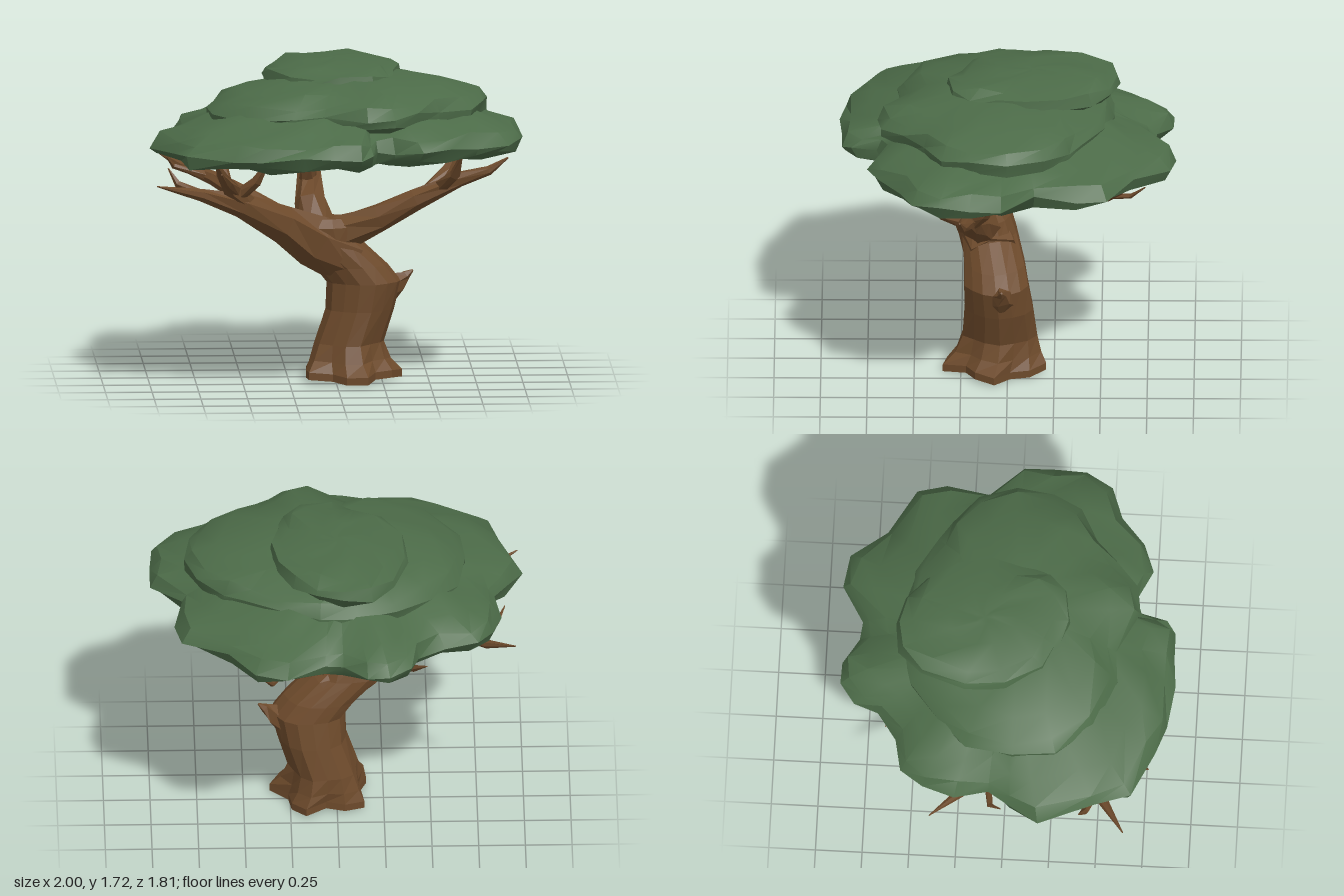
import * as THREE from 'three';
import { toCreasedNormals } from 'three/addons/utils/BufferGeometryUtils.js';

const bark = new THREE.MeshStandardMaterial({ color: 0x6d4a2b, flatShading: true });
const leaf = new THREE.MeshStandardMaterial({ color: 0x4c6b48 });
const V = (x, y, z) => new THREE.Vector3(x, y, z);

// Skin over a stack of equal rings of points, closed at both ends
function loft(rings) {
  const n = rings[0].length, pos = [], index = [];
  rings.forEach(r => r.forEach(p => pos.push(p.x, p.y, p.z)));
  for (let i = 0; i < rings.length - 1; i++) {
    for (let j = 0; j < n; j++) {
      const a = i * n + j, b = i * n + (j + 1) % n;
      index.push(a, a + n, b, b, a + n, b + n);
    }
  }
  [0, rings.length - 1].forEach((k, end) => {
    const c = V(0, 0, 0);
    rings[k].forEach(p => c.addScaledVector(p, 1 / n));
    const ci = pos.length / 3;
    pos.push(c.x, c.y, c.z);
    for (let j = 0; j < n; j++) {
      const a = k * n + j, b = k * n + (j + 1) % n;
      if (end) index.push(b, a, ci); else index.push(a, b, ci);
    }
  });
  const g = new THREE.BufferGeometry();
  g.setAttribute('position', new THREE.Float32BufferAttribute(pos, 3));
  g.setIndex(index);
  g.computeVertexNormals();
  return g;
}

// Tapered branch through points [x, y, z, radius]
function branch(points, sides) {
  const p = points.map(q => V(q[0], q[1], q[2]));
  const d = p[p.length - 1].clone().sub(p[0]);
  const ref = Math.abs(d.z) > Math.abs(d.x) ? V(1, 0, 0) : V(0, 0, 1);
  return loft(p.map((c, i) => {
    const t = p[Math.min(i + 1, p.length - 1)].clone().sub(p[Math.max(i - 1, 0)]).normalize();
    const u = t.clone().cross(ref).normalize(), w = u.clone().cross(t);
    return Array.from({ length: sides }, (_, j) => {
      const a = (j + 0.3 * (i % 2)) / sides * Math.PI * 2, r = points[i][3];
      return c.clone().addScaledVector(u, r * Math.cos(a)).addScaledVector(w, r * Math.sin(a));
    });
  }));
}

// Foliage tier: an outline scaled about a centre through a profile of [scale, y]
function tier(outline, [cx, cz], profile, tilt, phase) {
  const rings = profile.map(([s, y], i) => outline.map(([x, z], j) => {
    const k = s * (1 + 0.015 * Math.sin(j * 2.3 + i * 1.7 + phase));
    const px = Math.max(-1, Math.min(1, cx + (x - cx) * k));
    const lump = 0.014 * Math.sin(j * 1.9 + i * 2.6 + phase) * Math.min(1, s * 1.2);
    return V(px, y + lump + tilt * px, cz + (z - cz) * k);
  }));
  return toCreasedNormals(loft(rings), 0.6);
}

export function createModel() {
  const tree = new THREE.Group();
  tree.name = 'tree';
  const add = (name, geometry, material, parent = tree) => {
    const m = new THREE.Mesh(geometry, material);
    m.name = name;
    parent.add(m);
  };

  // Leaning trunk with flared roots: [y, centre x, centre z, radius x, radius z, root flare]
  const trunk = [
    [0.01, 0.08, 0.07, 0.24, 0.25, 0.2], [0.05, 0.08, 0.07, 0.24, 0.25, 0.2],
    [0.11, 0.07, 0.05, 0.21, 0.22, 0.12], [0.2, 0.07, 0.04, 0.185, 0.2, 0.06],
    [0.38, 0.13, 0.045, 0.185, 0.185, 0.03], [0.53, 0.15, 0.06, 0.2, 0.175, 0.03],
    [0.62, 0.08, 0.07, 0.2, 0.165, 0.03], [0.75, -0.06, 0.1, 0.205, 0.15, 0.02],
    [0.84, -0.08, 0.12, 0.2, 0.14, 0], [0.885, -0.06, 0.12, 0.13, 0.1, 0],
  ];
  const trunkRings = trunk.map(([y, cx, cz, rx, rz, f]) => Array.from({ length: 15 }, (_, j) => {
    const a = j / 15 * Math.PI * 2, k = 1 + f * Math.cos(a * 5 - 0.6);
    return V(cx + rx * k * Math.cos(a), y + f * 0.05 * Math.sin(a * 3), cz + rz * k * Math.sin(a));
  }));
  add('trunk', loft(trunkRings), bark);
  add('brokenStub', branch([[0.24, 0.46, 0.04, 0.1], [0.34, 0.52, 0.03, 0.055], [0.385, 0.555, 0.03, 0.025], [0.42, 0.58, 0.03, 0.006]], 5), bark);

  // Main limbs and their forks
  const limbs = {
    leftLimb: [
      [[0.07, 0.65, 0.08, 0.15], [-0.12, 0.77, 0.14, 0.15], [-0.3, 0.87, 0.25, 0.105], [-0.52, 1.0, 0.4, 0.07], [-0.74, 1.07, 0.52, 0.035], [-0.98, 1.14, 0.66, 0.003]],
      [[-0.46, 0.97, 0.36, 0.06], [-0.57, 1.09, 0.47, 0.05], [-0.63, 1.18, 0.58, 0.03], [-0.66, 1.26, 0.68, 0.01]],
      [[-0.55, 1.04, 0.43, 0.04], [-0.44, 1.14, 0.5, 0.03], [-0.38, 1.25, 0.54, 0.01]],
      [[-0.55, 1.08, 0.46, 0.035], [-0.6, 1.15, 0.64, 0.025], [-0.64, 1.22, 0.78, 0.005]],
      [[-0.72, 1.06, 0.5, 0.03], [-0.86, 1.12, 0.45, 0.02], [-0.91, 1.2, 0.42, 0.004]],
    ],
    leftBackLimb: [
      [[-0.3, 0.88, 0.22, 0.08], [-0.48, 1.0, 0.12, 0.055], [-0.64, 1.07, -0.05, 0.04], [-0.8, 1.11, -0.24, 0.025], [-0.95, 1.18, -0.38, 0.003]],
      [[-0.58, 1.04, 0.02, 0.04], [-0.6, 1.15, -0.08, 0.03], [-0.58, 1.26, -0.16, 0.01]],
      [[-0.68, 1.08, -0.08, 0.025], [-0.86, 1.14, -0.06, 0.015], [-0.9, 1.2, 0, 0.003]],
    ],
    rightLimb: [
      [[-0.1, 0.74, 0.1, 0.12], [0.06, 0.81, 0.13, 0.1], [0.24, 0.89, 0.17, 0.075], [0.43, 0.99, 0.2, 0.06], [0.66, 1.1, 0.22, 0.042], [0.82, 1.15, 0.24, 0.026], [0.92, 1.22, 0.25, 0.005]],
      [[0.5, 1.03, 0.2, 0.05], [0.6, 1.13, 0.12, 0.035], [0.67, 1.25, 0.05, 0.01]],
      [[0.56, 1.06, 0.21, 0.04], [0.63, 1.14, 0.34, 0.03], [0.66, 1.25, 0.42, 0.01]],
    ],
    backLimb: [
      [[-0.1, 0.8, 0.12, 0.12], [-0.13, 0.96, 0.06, 0.085], [-0.13, 1.08, -0.1, 0.065], [-0.11, 1.15, -0.34, 0.045], [-0.08, 1.2, -0.55, 0.025], [-0.05, 1.24, -0.75, 0.004]],
      [[-0.14, 1.05, -0.04, 0.05], [-0.14, 1.15, 0.0, 0.045], [-0.13, 1.27, 0.02, 0.015]],
      [[-0.12, 1.1, -0.16, 0.04], [-0.04, 1.17, -0.22, 0.03], [0.01, 1.28, -0.25, 0.01]],
      [[-0.13, 1.1, -0.16, 0.04], [-0.21, 1.18, -0.24, 0.03], [-0.24, 1.27, -0.28, 0.01]],
    ],
    twigs: [
      [[-0.1, 1.13, -0.26, 0.03], [0.16, 1.08, -0.42, 0.022], [0.36, 1.12, -0.54, 0.022], [0.5, 1.21, -0.62, 0.003]],
      [[0.18, 1.09, -0.43, 0.02], [0.32, 1.15, -0.4, 0.018], [0.42, 1.24, -0.36, 0.004]],
      [[0.3, 1.1, -0.5, 0.018], [0.36, 1.13, -0.66, 0.014], [0.4, 1.2, -0.74, 0.003]],
      [[-0.12, 1.13, -0.28, 0.03], [-0.28, 1.13, -0.45, 0.025], [-0.4, 1.16, -0.56, 0.02], [-0.47, 1.22, -0.64, 0.003]],
    ],
  };
  for (const [name, paths] of Object.entries(limbs)) {
    const group = new THREE.Group();
    group.name = name;
    paths.forEach((p, i) => add(i || name === 'twigs' ? 'fork' : 'limb', branch(p, i ? 5 : 7), bark, group));
    tree.add(group);
  }

  // Canopy: broad scalloped skirt, off-centre middle tier and a low crown
  const canopy = new THREE.Group();
  canopy.name = 'canopy';
  tree.add(canopy);
  const skirt = [
    [1, 0.03], [1, 0.2], [1, 0.37], [0.9, 0.5], [0.75, 0.57], [0.6, 0.7], [0.44, 0.74], [0.3, 0.68], [0.2, 0.7], [0.17, 0.83],
    [0.11, 0.9], [-0.04, 0.88], [-0.2, 0.9], [-0.43, 0.88], [-0.57, 0.8], [-0.83, 0.7], [-0.89, 0.5], [-1, 0.2],
    [-0.93, 0.05], [-0.84, -0.07], [-0.87, -0.25], [-0.84, -0.43], [-0.74, -0.54], [-0.57, -0.58], [-0.43, -0.69],
    [-0.38, -0.8], [-0.27, -0.9], [-0.15, -0.89], [-0.02, -0.79], [0.08, -0.8], [0.28, -0.9], [0.45, -0.87],
    [0.6, -0.69], [0.83, -0.53], [0.88, -0.38], [0.84, -0.15],
  ];
  const middle = [
    [0.83, 0], [0.78, 0.2], [0.72, 0.35], [0.55, 0.45], [0.42, 0.55], [0.3, 0.68], [0.15, 0.7], [-0.08, 0.57],
    [-0.25, 0.6], [-0.5, 0.48], [-0.66, 0.28], [-0.7, 0.05], [-0.64, -0.2], [-0.5, -0.36], [-0.32, -0.52],
    [-0.1, -0.56], [0.1, -0.58], [0.32, -0.52], [0.5, -0.4], [0.62, -0.34], [0.75, -0.2],
  ];
  const crown = [
    [0.37, -0.1], [0.32, 0.06], [0.3, 0.22], [0.2, 0.31], [0.02, 0.33], [-0.12, 0.27], [-0.25, 0.2], [-0.36, 0],
    [-0.38, -0.22], [-0.3, -0.46], [-0.18, -0.58], [-0.03, -0.61], [0.12, -0.56], [0.24, -0.45], [0.33, -0.3],
  ];
  add('lowerFoliage', tier(skirt, [0, 0], [[0.15, 1.275], [0.6, 1.245], [0.86, 1.235], [0.96, 1.26], [1, 1.31],
    [0.95, 1.375], [0.82, 1.425], [0.6, 1.5], [0.3, 1.56], [0.1, 1.57]], 0.02, 0), leaf, canopy);
  add('middleFoliage', tier(middle, [0.05, 0.05], [[0.8, 1.39], [0.98, 1.43], [1, 1.485], [0.93, 1.54],
    [0.75, 1.595], [0.4, 1.645], [0.1, 1.655]], 0.03, 1.3), leaf, canopy);
  add('upperFoliage', tier(crown, [0, -0.13], [[0.85, 1.55], [1, 1.61], [0.96, 1.66], [0.8, 1.69],
    [0.4, 1.71], [0.1, 1.715]], 0.02, 2.1), leaf, canopy);

  return tree;
}
